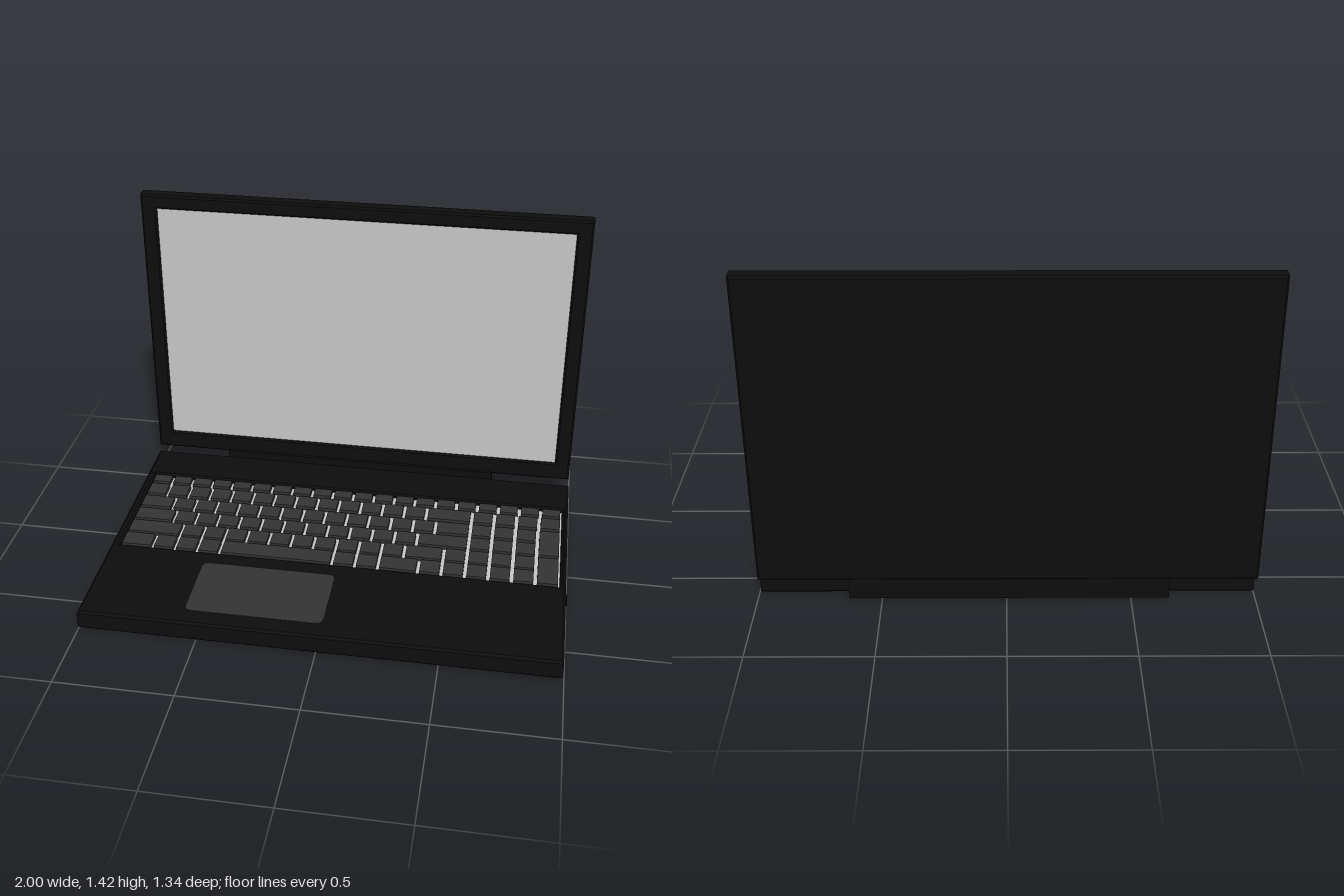
import * as THREE from 'three';

const paint = (name, color) => {
  const m = new THREE.MeshStandardMaterial({ color });
  m.name = name;
  return m;
};

// Outline of a rectangle, optionally with rounded corners
function rectPath(PathType, x0, x1, y0, y1, r = 0) {
  const p = new PathType();
  if (!r) {
    p.moveTo(x0, y0).lineTo(x1, y0).lineTo(x1, y1).lineTo(x0, y1).closePath();
    return p;
  }
  p.moveTo(x0 + r, y0);
  p.lineTo(x1 - r, y0).quadraticCurveTo(x1, y0, x1, y0 + r);
  p.lineTo(x1, y1 - r).quadraticCurveTo(x1, y1, x1 - r, y1);
  p.lineTo(x0 + r, y1).quadraticCurveTo(x0, y1, x0, y1 - r);
  p.lineTo(x0, y0 + r).quadraticCurveTo(x0, y0, x0 + r, y0);
  return p;
}

// Chamfered slab with a rectangular opening, lying in xy from z = 0 to depth
function frame(outer, hole, depth, bevel) {
  const shape = rectPath(THREE.Shape, ...outer);
  shape.holes.push(rectPath(THREE.Path, ...hole));
  const g = new THREE.ExtrudeGeometry(shape, {
    depth: depth - 2 * bevel, bevelEnabled: true, bevelSegments: 1,
    bevelSize: bevel, bevelThickness: bevel, bevelOffset: -bevel,
  });
  return g.translate(0, 0, bevel);
}

// Box given by its limits on each axis
function box(x0, x1, y0, y1, z0, z1) {
  return new THREE.BoxGeometry(x1 - x0, y1 - y0, z1 - z0)
    .translate((x0 + x1) / 2, (y0 + y1) / 2, (z0 + z1) / 2);
}

export function createModel() {
  const black = paint('casing black', 0x0d0d0d);
  const grey = paint('key grey', 0x343434);
  const light = paint('screen grey', 0xcacaca);
  const dark = paint('socket black', 0x060606);

  const model = new THREE.Group();
  model.name = 'laptop';
  const add = (name, geometry, material, parent = model) => {
    const mesh = new THREE.Mesh(geometry, material);
    mesh.name = name;
    parent.add(mesh);
    return mesh;
  };

  // Base with a sunken keyboard well
  const X0 = -1, X1 = 0.994;
  const base = frame([X0, X1, -0.67, 0.6], [-0.963, 0.967, -0.183, 0.39], 0.09, 0.01);
  add('base', base.rotateX(-Math.PI / 2), black);
  add('keyboardFloor', box(-0.98, 0.98, 0.001, 0.066, -0.405, 0.2), black);
  add('keyboardBacking', box(-0.963, 0.967, 0.066, 0.07, -0.39, 0.183), light);

  // Keys: each run is [start, end, number of keys]
  const keyboard = new THREE.Group();
  keyboard.name = 'keyboard';
  model.add(keyboard);
  const gap = 0.008;
  const addKey = (x0, x1, z0, z1) =>
    add('key', box(x0 + gap, x1 - gap, 0.07, 0.089, z0, z1), grey, keyboard);
  const L = -0.965, N = 0.562, pad = [N, 0.863, 3];
  const rows = [
    { z: [-0.383, -0.328], runs: [[L, 0.967, 20]] },
    { z: [-0.309, -0.227], runs: [[L, 0.353, 13], [0.353, N, 1], [N, 0.967, 4]] },
    { z: [-0.207, -0.125], runs: [[L, -0.811, 1], [-0.811, 0.404, 12], [0.404, N, 1], pad] },
    { z: [-0.106, -0.025], runs: [[L, -0.779, 1], [-0.779, 0.332, 11], [0.332, N, 1], pad] },
    { z: [-0.008, 0.076], runs: [[L, -0.72, 1], [-0.72, 0.286, 10], [0.286, 0.46, 1], [0.46, N, 1], pad] },
    { z: [0.09, 0.175], runs: [[L, -0.819, 1], [-0.819, -0.517, 3], [-0.517, -0.016, 1],
      [-0.016, 0.185, 2], [0.185, 0.359, 1], [0.359, N, 2], pad] },
  ];
  for (const { z, runs } of rows) {
    for (const [a, b, n] of runs) {
      const w = (b - a) / n;
      for (let i = 0; i < n; i++) addKey(a + i * w, a + (i + 1) * w, ...z);
    }
  }
  // Double-height keys at the end of the number pad
  addKey(0.863, 0.967, -0.207, -0.025);
  addKey(0.863, 0.967, -0.008, 0.175);

  // Trackpad
  const padShape = rectPath(THREE.Shape, -0.562, 0.016, -0.59, -0.265, 0.03);
  const padGeo = new THREE.ExtrudeGeometry(padShape, { depth: 0.003, bevelEnabled: false });
  add('trackpad', padGeo.rotateX(-Math.PI / 2).translate(0, 0.089, 0), grey);

  // Side button and power socket
  add('sideButton', box(0.99, 1, 0.06, 0.076, 0.22, 0.28), black);
  const socket = new THREE.CylinderGeometry(0.02, 0.02, 0.004, 20).rotateZ(Math.PI / 2);
  add('powerSocket', socket.translate(0.993, 0.05, -0.55), dark);

  // Hinge bar between base and lid
  add('hinge', box(-0.65, 0.63, 0.018, 0.125, -0.66, -0.59), black);

  // Upright lid with the screen set into its bezel
  const lid = new THREE.Group();
  lid.name = 'lid';
  model.add(lid);
  const bezel = frame([X0, 0.99, 0.112, 1.42], [-0.928, 0.92, 0.2, 1.355], 0.065, 0.008);
  add('lidFrame', bezel.translate(0, 0, -0.67), black, lid);
  add('lidBack', box(-0.945, 0.937, 0.183, 1.372, -0.67, -0.622), black, lid);
  add('screen', box(-0.928, 0.92, 0.2, 1.355, -0.622, -0.614), light, lid);

  return model;
}
